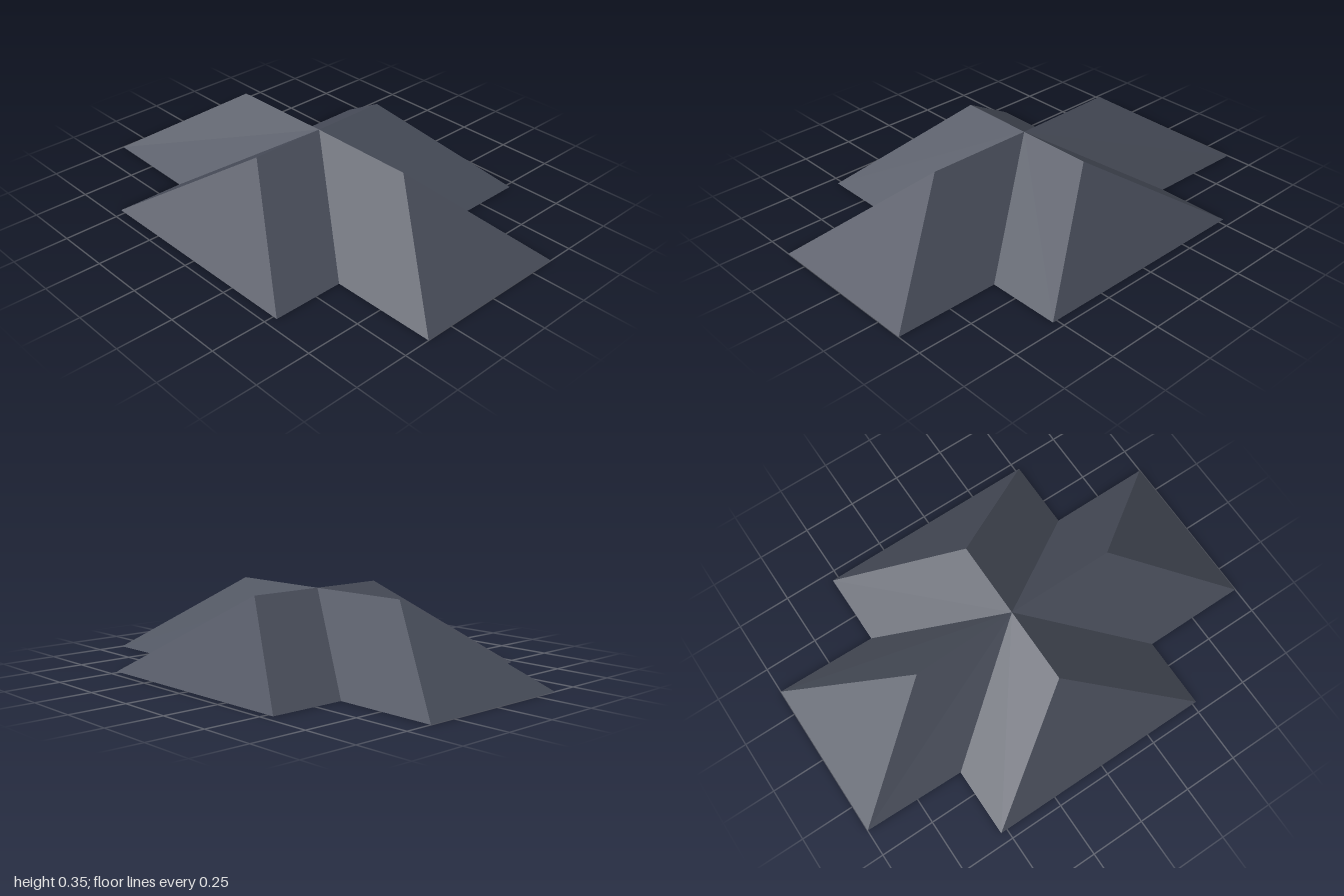
import * as THREE from 'three';

const H = 0.355; // ridge height

// Flat-shaded mesh from a list of triangles, each made of three [x, y, z] corners
function facets(name, triangles, material) {
  const geometry = new THREE.BufferGeometry();
  geometry.setAttribute('position', new THREE.Float32BufferAttribute(triangles.flat(2), 3));
  geometry.computeVertexNormals();
  const mesh = new THREE.Mesh(geometry, material);
  mesh.name = name;
  return mesh;
}

export function createModel() {
  const slate = new THREE.MeshStandardMaterial({ color: 0x4a4f5c });
  slate.name = 'slate';
  const group = new THREE.Group();
  group.name = 'crossHippedRoof';

  const peak = [0, H, 0];
  const centre = [0, 0, 0];

  // Inner corners where neighbouring wings meet, as [x, z]
  const frontLeft = [0.52, 0.375], backLeft = [0.52, -0.375];
  const backRight = [-0.53, -0.365], frontRight = [-0.53, 0.385];

  // Each wing: ridge end and its four eave points, counterclockwise from above
  const wings = [
    { name: 'leftWing', ridge: [0.5, 0], eaves: [frontLeft, [1, 0.375], [1, -0.375], backLeft] },
    { name: 'backWing', ridge: [0, -0.358], eaves: [backLeft, [0.52, -0.71], [-0.53, -0.71], backRight] },
    { name: 'rightWing', ridge: [-0.485, 0.008], eaves: [backRight, [-1, -0.375], [-1, 0.375], frontRight] },
    { name: 'frontWing', ridge: [0, 0.354], eaves: [frontRight, [-0.53, 0.705], [0.52, 0.705], frontLeft] },
  ];

  const underside = [];
  for (const { name, ridge, eaves } of wings) {
    const r = [ridge[0], H, ridge[1]];
    const [a, b, c, d] = eaves.map(([x, z]) => [x, 0, z]);
    // Two side slopes and the hipped end
    group.add(facets(name, [
      [peak, a, b], [peak, b, r],
      [r, b, c],
      [peak, r, c], [peak, c, d],
    ], slate));
    underside.push([centre, b, a], [centre, c, b], [centre, d, c]);
  }

  // Flat cross-shaped soffit closing the roof from below
  group.add(facets('underside', underside, slate));
  return group;
}
